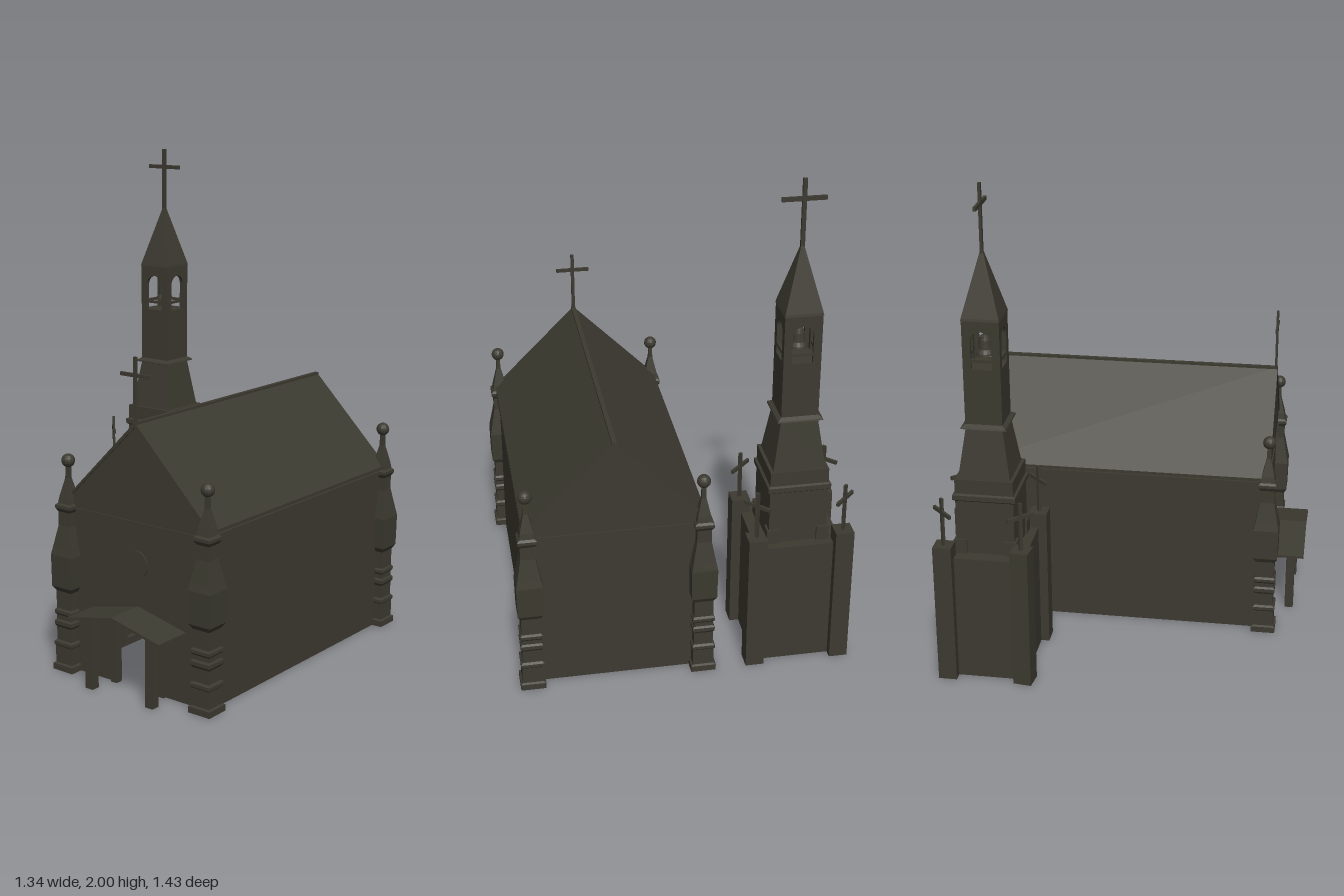
import * as THREE from 'three';

const stone = new THREE.MeshStandardMaterial({ color: 0x3c3a30, flatShading: true, side: THREE.DoubleSide });
stone.name = 'darkStone';

const HALL_X = 0.273;            // ridge line of the nave
const FRONT = 0.56, BACK = -0.66;

function add(parent, name, geometry, x = 0, y = 0, z = 0) {
  const mesh = new THREE.Mesh(geometry, stone);
  mesh.name = name;
  mesh.position.set(x, y, z);
  parent.add(mesh);
  return mesh;
}

function group(parent, name, x = 0, y = 0, z = 0) {
  const g = new THREE.Group();
  g.name = name;
  g.position.set(x, y, z);
  parent.add(g);
  return g;
}

// Box given by its centre in x and z and its lower and upper y
function block(parent, name, x, z, y0, y1, w, d) {
  return add(parent, name, new THREE.BoxGeometry(w, y1 - y0, d), x, (y0 + y1) / 2, z);
}

// Square turned form; points are [half width, y]
function squareLathe(points) {
  const pts = points.map(([h, y]) => new THREE.Vector2(h * Math.SQRT2, y));
  return new THREE.LatheGeometry(pts, 4, Math.PI / 4);
}

function extrude(points, depth, holes = []) {
  const shape = new THREE.Shape(points.map(([x, y]) => new THREE.Vector2(x, y)));
  shape.holes.push(...holes);
  return new THREE.ExtrudeGeometry(shape, { depth, bevelEnabled: false, curveSegments: 10 });
}

// Arch outline with straight legs
function archPath(w, y0, spring, PathType = THREE.Path) {
  const p = new PathType();
  p.moveTo(-w, y0);
  p.lineTo(w, y0);
  p.lineTo(w, spring);
  p.absarc(0, spring, w, 0, Math.PI, false);
  p.closePath();
  return p;
}

function cross(parent, name, x, y, z, height, barY, span, t, turn = 0) {
  const g = group(parent, name, x, y, z);
  block(g, 'crossUpright', 0, 0, 0, height, t, t * 0.7);
  block(g, 'crossBar', 0, 0, barY - t / 2, barY + t / 2, span, t * 0.7);
  g.rotation.y = turn;
  return g;
}

// Corner pillar with carved square shaft and ball finial
function cornerPillar(parent, x, z) {
  const g = group(parent, 'cornerPillar', x, 0, z);
  add(g, 'pillarShaft', squareLathe([
    [0, 0], [0.05, 0], [0.05, 0.025], [0.042, 0.03], [0.042, 0.1], [0.046, 0.105], [0.046, 0.118],
    [0.038, 0.125], [0.038, 0.18], [0.044, 0.19], [0.044, 0.205], [0.038, 0.212], [0.038, 0.23],
    [0.044, 0.238], [0.044, 0.25], [0.038, 0.258], [0.038, 0.33], [0.05, 0.35], [0.052, 0.48],
    [0.046, 0.51], [0.029, 0.6], [0.029, 0.655], [0.038, 0.67], [0.038, 0.682], [0.03, 0.69],
    [0.026, 0.715], [0.009, 0.79], [0.008, 0.84],
  ]));
  add(g, 'finialBall', new THREE.SphereGeometry(0.027, 14, 10), 0, 0.86, 0);
}

function buildNave(root) {
  const nave = group(root, 'nave', HALL_X, 0, 0);
  const gable = [[-0.347, 0.67], [0.347, 0.67], [0.347, 0.7], [0, 1.045], [-0.347, 0.7]];

  // Front wall with an open doorway, closed back wall
  add(nave, 'frontWall', extrude([
    [-0.347, 0], [-0.105, 0], [-0.105, 0.28], [0.105, 0.28], [0.105, 0], [0.347, 0], [0.347, 0.67], [-0.347, 0.67],
  ], 0.03), 0, 0, FRONT - 0.035);
  block(nave, 'backWall', 0, BACK + 0.02, 0, 0.67, 0.694, 0.03);
  add(nave, 'frontGable', extrude(gable, 0.03), 0, 0, FRONT - 0.03);
  add(nave, 'backGable', extrude(gable, 0.03), 0, 0, BACK);

  // Side walls with arched frames on the inner face
  for (const s of [-1, 1]) {
    block(nave, 'sideWall', s * 0.335, (FRONT + BACK) / 2, 0, 0.68, 0.024, FRONT - BACK - 0.01);
    block(nave, 'eaveMoulding', s * 0.348, (FRONT + BACK) / 2, 0.67, 0.685, 0.02, FRONT - BACK);
    for (const z of [-0.3, -0.05, 0.2, 0.42]) {
      const frame = archPath(0.08, 0.02, 0.35, THREE.Shape);
      frame.holes.push(archPath(0.055, 0.045, 0.35));
      const geo = new THREE.ExtrudeGeometry(frame, { depth: 0.025, bevelEnabled: false, curveSegments: 10 });
      const mesh = add(nave, 'innerArch', geo, s * 0.324, 0, z);
      mesh.rotation.y = -s * Math.PI / 2;
    }
  }

  // Roof, as one thin folded sheet
  add(nave, 'roof', extrude([
    [-0.358, 0.69], [-0.358, 0.703], [0, 1.062], [0.358, 0.703], [0.358, 0.69], [0, 1.043],
  ], 1.23), 0, 0, -0.665);
  block(nave, 'ridge', 0, -0.05, 1.05, 1.063, 0.018, 1.23);
  for (const z of [FRONT, BACK]) block(nave, 'gableMoulding', 0, z, 0.668, 0.676, 0.69, 0.01);
  cross(nave, 'gableCross', 0, 1.05, FRONT - 0.002, 0.26, 0.19, 0.14, 0.014);

  // Round window
  const disc = add(nave, 'roundWindow', new THREE.CylinderGeometry(0.055, 0.055, 0.008, 28), 0, 0.505, FRONT - 0.003);
  disc.rotation.x = Math.PI / 2;

  // Raised platform and altar at the far end
  add(nave, 'altarPlatform', extrude([
    [-0.3, 0.64], [-0.3, 0.52], [-0.24, 0.41], [-0.13, 0.34], [0, 0.32], [0.13, 0.34], [0.24, 0.41], [0.3, 0.52], [0.3, 0.64],
  ], 0.012).rotateX(-Math.PI / 2), 0, 0.002, 0);
  block(nave, 'altarStep', 0, -0.53, 0.01, 0.04, 0.2, 0.14);
  block(nave, 'altarTable', 0, -0.55, 0.04, 0.11, 0.18, 0.08);
  block(nave, 'altarShelf', 0, -0.6, 0.04, 0.165, 0.22, 0.04);

  for (const x of [-0.342, 0.342]) for (const z of [FRONT, -0.66]) cornerPillar(nave, x, z);
}

function buildPorch(root) {
  const porch = group(root, 'porch', HALL_X + 0.007, 0, 0);
  add(porch, 'porchRoof', extrude([
    [-0.23, 0.275], [-0.23, 0.285], [0, 0.337], [0.23, 0.285], [0.23, 0.275], [0, 0.325],
  ], 0.165), 0, 0, 0.55);
  for (const s of [-1, 1]) {
    block(porch, 'porchPost', s * 0.15, 0.658, 0, 0.295, 0.036, 0.036);
    block(porch, 'doorJamb', s * 0.118, 0.552, 0, 0.28, 0.03, 0.03);
  }
}

function buildTower(root) {
  const tower = group(root, 'bellTower', -0.454, 0, -0.515);
  block(tower, 'towerBase', 0, 0, 0, 0.53, 0.345, 0.315);

  // Corner buttresses with diagonal crosses
  for (const sx of [-1, 1]) for (const sz of [-1, 1]) {
    const bx = sx * 0.174, bz = sz * 0.155;
    const buttress = block(tower, 'buttress', bx, bz, 0, 0.59, 0.074, 0.074);
    if (sx < 0 && sz > 0) buttress.rotation.y = -0.13;
    cross(tower, 'buttressCross', bx, 0.59, bz, 0.2, 0.14, 0.12, 0.015, sx * sz * Math.PI / 4);
    block(tower, 'cornerBlock', sx * 0.1, sz * 0.1, 0.53, 0.59, 0.05, 0.05);
  }

  // Square stages, mouldings and tapering neck
  add(tower, 'towerStages', squareLathe([
    [0.116, 0.52], [0.116, 0.755], [0.125, 0.762], [0.125, 0.782], [0.116, 0.787], [0.116, 0.847],
    [0.103, 0.847], [0.073, 1.045], [0.09, 1.05], [0.088, 1.056], [0.073, 1.066], [0.073, 1.29], [0, 1.29],
  ]));

  // Belfry walls, each pierced by an arch
  for (let i = 0; i < 4; i++) {
    const wall = group(tower, 'belfryWall');
    wall.rotation.y = i * Math.PI / 2;
    add(wall, 'archedPanel', extrude(
      [[-0.073, 1.285], [0.073, 1.285], [0.073, 1.49], [-0.073, 1.49]], 0.014, [archPath(0.041, 1.291, 1.402)],
    ), 0, 0, 0.059);
    block(wall, 'archRail', 0, 0.066, 1.32, 1.331, 0.084, 0.012);
  }

  // Bell
  add(tower, 'bell', new THREE.LatheGeometry([
    [0.038, 1.331], [0.036, 1.34], [0.027, 1.355], [0.023, 1.39], [0.018, 1.405], [0.007, 1.412], [0.006, 1.45], [0, 1.45],
  ].map(([r, y]) => new THREE.Vector2(r, y)), 16));

  // Spire and top cross
  add(tower, 'spire', squareLathe([[0, 1.485], [0.075, 1.485], [0.073, 1.495], [0.006, 1.74], [0, 1.74]]));
  cross(tower, 'spireCross', 0, 1.73, 0, 0.27, 0.192, 0.17, 0.016);
}

export function createModel() {
  const root = new THREE.Group();
  root.name = 'chapel';
  buildNave(root);
  buildPorch(root);
  buildTower(root);
  return root;
}
